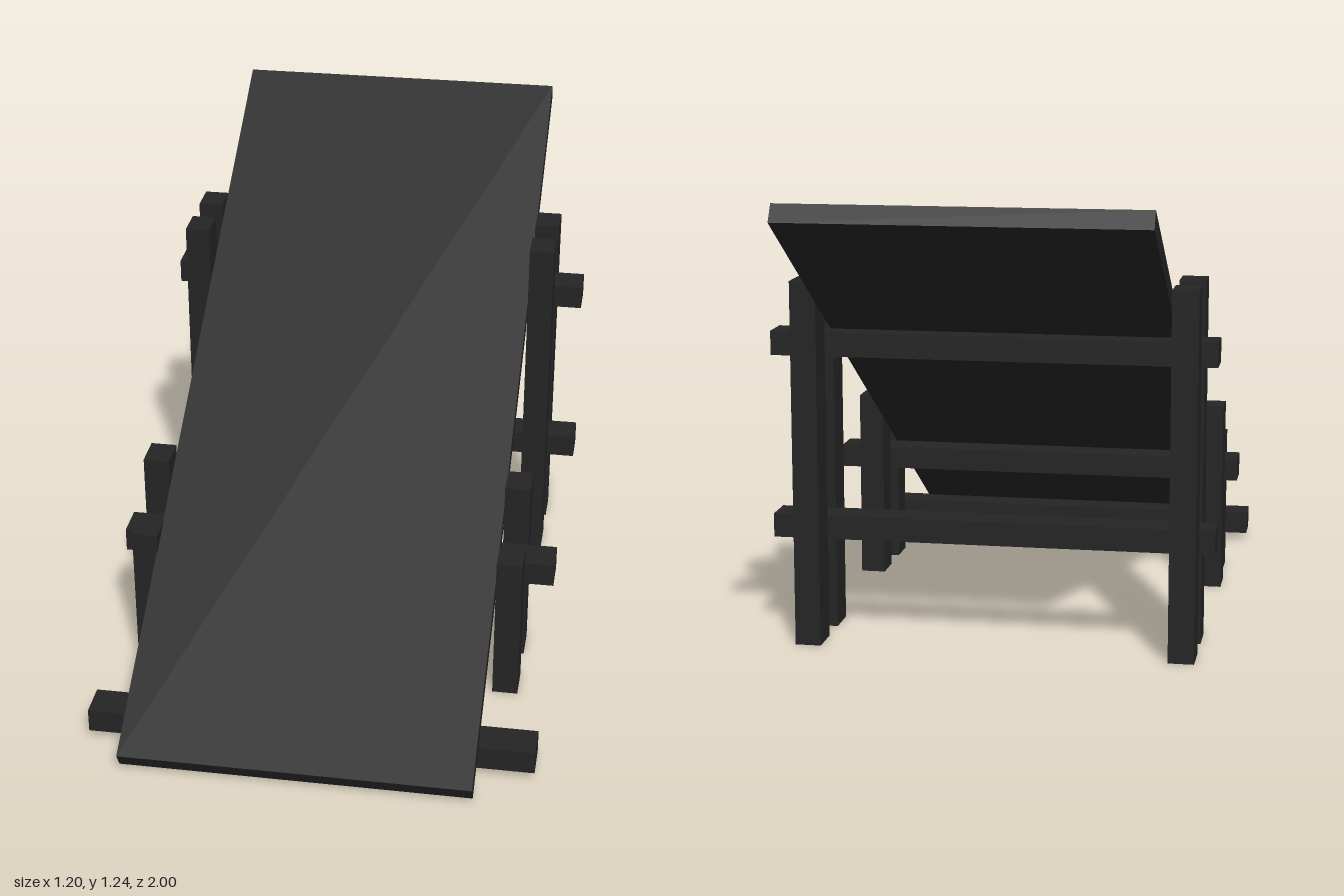
import * as THREE from 'three';

export function createModel() {
  const group = new THREE.Group();
  group.name = 'ramp';
  const darkWood = new THREE.MeshStandardMaterial({ color: 0x242424 });
  darkWood.name = 'darkWood';

  // Box given by its limits on each axis
  function beam(name, [x0, x1], [y0, y1], [z0, z1]) {
    const mesh = new THREE.Mesh(new THREE.BoxGeometry(x1 - x0, y1 - y0, z1 - z0), darkWood);
    mesh.position.set((x0 + x1) / 2, (y0 + y1) / 2, (z0 + z1) / 2);
    mesh.name = name;
    group.add(mesh);
  }

  // Sloping board, rising towards the back
  const board = new THREE.Mesh(new THREE.BoxGeometry(0.94, 0.052, 2.301), darkWood);
  board.name = 'board';
  board.position.set(-0.02, 0.629, 0);
  board.rotation.x = Math.atan2(1.183, 1.974);
  group.add(board);

  // Pairs of posts either side of the board: z limits, height, right outer and inner x
  const posts = [
    ['frontPost', [0.388, 0.483], 0.42, -0.558, -0.488],
    ['frontPost', [0.193, 0.288], 0.545, -0.567, -0.495],
    ['backPost', [-0.385, -0.29], 0.995, -0.56, -0.49],
    ['backPost', [-0.57, -0.475], 0.995, -0.56, -0.49],
  ];
  for (const [name, z, height, outer, inner] of posts) {
    beam(name + 'Right', [outer, inner], [0.003, height], z);
    beam(name + 'Left', [0.45, 0.52], [0.003, height], z);
  }

  // Crossbars held between the posts, and the foot bar
  const bars = [
    ['footBar', [0.025, 0.09], [0.76, 0.857]],
    ['frontCrossbar', [0.305, 0.37], [0.288, 0.385]],
    ['lowerBackCrossbar', [0.277, 0.342], [-0.478, -0.383]],
    ['upperBackCrossbar', [0.78, 0.846], [-0.478, -0.383]],
  ];
  for (const [name, y, z] of bars) beam(name, [-0.603, 0.6], y, z);

  return group;
}
